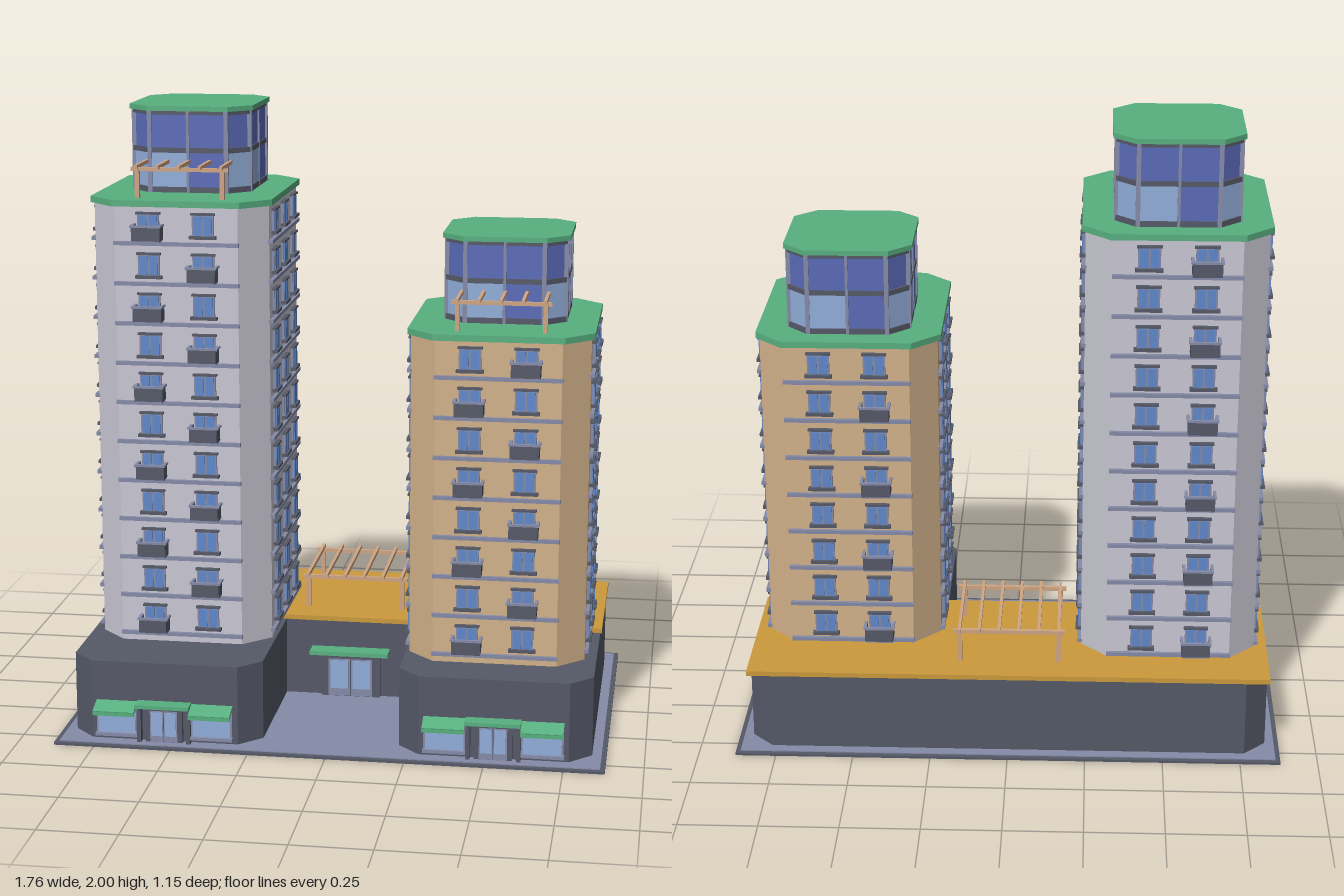
import * as THREE from 'three';

const mat = (name, color) => {
  const m = new THREE.MeshStandardMaterial({ color });
  m.name = name;
  return m;
};
const M = {
  slate: mat('slate', 0x555967),
  stone: mat('lavender stone', 0x858aa8),
  green: mat('green', 0x58b080),
  pale: mat('pale wall', 0xc9c8d4),
  beige: mat('beige wall', 0xd3b28b),
  gold: mat('gold deck', 0xcc9a3c),
  wood: mat('wood', 0xcfa584),
  pane: mat('window blue', 0x5f88cb),
  deep: mat('deep blue glass', 0x5a6bb8),
  light: mat('light glass', 0x92aedb),
};

function add(parent, name, geo, material, x = 0, y = 0, z = 0) {
  const m = new THREE.Mesh(geo, material);
  m.name = name;
  m.position.set(x, y, z);
  parent.add(m);
  return m;
}
const box = (p, name, m, w, h, d, x, y, z) => add(p, name, new THREE.BoxGeometry(w, h, d), m, x, y, z);

function group(parent, name, x = 0, y = 0, z = 0, turn = 0) {
  const g = new THREE.Group();
  g.name = name;
  g.position.set(x, y, z);
  g.rotation.y = turn;
  parent.add(g);
  return g;
}

// Upright prism from a plan outline of [x, z] points
function prism(points, h) {
  const shape = new THREE.Shape(points.map(([x, z]) => new THREE.Vector2(x, -z)));
  return new THREE.ExtrudeGeometry(shape, { depth: h, bevelEnabled: false }).rotateX(-Math.PI / 2);
}
const octagon = (a, b, c) => [
  [-a, -b + c], [-a, b - c], [-a + c, b], [a - c, b],
  [a, b - c], [a, -b + c], [a - c, -b], [-a + c, -b],
];

// Four straight sides of a chamfered plan: turn, distance from centre, flat width
const sides = (a, b, c) => [
  { name: 'front', turn: 0, dist: b, flat: 2 * (a - c) },
  { name: 'left', turn: Math.PI / 2, dist: a, flat: 2 * (b - c) },
  { name: 'back', turn: Math.PI, dist: b, flat: 2 * (a - c) },
  { name: 'right', turn: -Math.PI / 2, dist: a, flat: 2 * (b - c) },
];

function addWindow(parent, x, y, z) {
  const w = group(parent, 'window', x, y, z);
  box(w, 'windowFrame', M.stone, 0.07, 0.074, 0.012, 0, 0, 0.002);
  for (const s of [-1, 1]) box(w, 'windowPane', M.pane, 0.026, 0.06, 0.004, s * 0.0165, 0, 0.009);
  box(w, 'windowSill', M.slate, 0.086, 0.01, 0.022, 0, -0.037, 0.007);
  box(w, 'windowHead', M.slate, 0.078, 0.007, 0.016, 0, 0.037, 0.006);
}

function addBalcony(parent, x, y, z) {
  const b = group(parent, 'balcony', x, y, z);
  box(b, 'balconyFloor', M.stone, 0.09, 0.008, 0.05, 0, 0, 0.025);
  box(b, 'balconyFrontPanel', M.slate, 0.09, 0.044, 0.006, 0, 0.022, 0.048);
  box(b, 'balconyRail', M.stone, 0.1, 0.007, 0.01, 0, 0.046, 0.048);
  for (const s of [-1, 1]) {
    box(b, 'balconySidePanel', M.slate, 0.006, 0.044, 0.048, s * 0.043, 0.022, 0.024);
    box(b, 'balconySideRail', M.stone, 0.01, 0.007, 0.05, s * 0.045, 0.046, 0.025);
  }
}

// Beams along x, slats along z, posts under the beams
function addPergola(parent, name, o) {
  const p = group(parent, name, o.x, o.y, o.z);
  const t = o.t;
  for (const z of o.beams) {
    box(p, 'beam', M.wood, 2 * o.half + 0.04, t, t, 0, o.h, z);
    for (const s of [-1, 1]) box(p, 'post', M.wood, t * 1.2, o.h, t * 1.2, s * o.half, o.h / 2, z);
  }
  for (let i = 0; i < o.slats; i++) {
    const x = -o.half + (2 * o.half * i) / (o.slats - 1);
    box(p, 'slat', M.wood, 0.01, t, o.z1 - o.z0, x, o.h + t * 0.7, (o.z0 + o.z1) / 2);
  }
}

// Glazed rooftop room
function addPavilion(parent, y) {
  const a = 0.19, b = 0.203, c = 0.065, h = 0.262;
  const p = group(parent, 'pavilion', 0, y, -0.063);
  add(p, 'pavilionGlass', prism(octagon(a, b, c), h), M.deep);
  for (const [ry, rh] of [[0, 0.018], [0.128, 0.016], [h - 0.012, 0.012]])
    add(p, 'pavilionRail', prism(octagon(a + 0.005, b + 0.005, c), rh), M.slate, 0, ry, 0);
  for (const [x, z] of octagon(a, b, c)) box(p, 'pavilionPost', M.stone, 0.014, h, 0.014, x, h / 2, z);
  for (const s of sides(a, b, c)) {
    const f = group(p, s.name + 'Glazing', 0, 0, 0, s.turn);
    box(f, 'mullion', M.stone, 0.009, h, 0.012, 0, h / 2, s.dist);
    box(f, 'lightPane', M.light, s.flat / 2 - 0.01, 0.11, 0.004, -s.flat / 4, 0.073, s.dist + 0.001);
  }
  // Lower panes on the cut corners
  for (const sx of [-1, 1]) for (const sz of [-1, 1]) {
    const m = box(p, 'cornerPane', M.light, c * 1.3, 0.11, 0.004, sx * (a - c / 2), 0.073, sz * (b - c / 2));
    m.rotation.y = sx * sz > 0 ? Math.PI / 4 : -Math.PI / 4;
  }
  add(p, 'pavilionRoof', prism(octagon(0.203, 0.215, 0.07), 0.016), M.green, 0, h, 0);
}

function addTower(parent, name, wall, x, z, floors, top) {
  const base = 0.27, first = 0.285, a = 0.283, b = 0.337, c = 0.085;
  const t = group(parent, name, x, 0, z);
  const step = (top - first) / floors;
  add(t, 'towerWalls', prism(octagon(a, b, c), top - base), wall, 0, base, 0);
  for (const s of sides(a, b, c)) {
    const f = group(t, s.name + 'Facade', 0, 0, 0, s.turn);
    const narrow = s.name === 'front' || s.name === 'back';
    const columns = narrow ? [-0.088, 0.088] : [-0.17, 0, 0.17];
    for (let i = 0; i < floors; i++) {
      const y = first + i * step;
      box(f, 'floorBand', M.stone, s.flat + 0.006, 0.012, 0.02, 0, y + 0.012, s.dist + 0.002);
      for (const cx of columns) addWindow(f, cx, y + 0.072, s.dist);
      // Front balconies alternate sides; back ones sit on every other floor
      if (s.name === 'front') addBalcony(f, i % 2 ? 0.088 : -0.088, y + 0.026, s.dist);
      if (s.name === 'back' && i % 2 === 0) addBalcony(f, 0.088, y + 0.026, s.dist);
    }
  }
  add(t, 'towerRoof', prism(octagon(0.294, 0.347, 0.088), 0.02), M.green, 0, top, 0);
  addPavilion(t, top + 0.02);
  addPergola(t, 'terracePergola', {
    x: 0.003, y: top + 0.02, z: 0, half: 0.137, h: 0.092, t: 0.012, beams: [0.285], slats: 5, z0: 0.14, z1: 0.308,
  });
}

function addDoor(parent, name, x, z, w, h) {
  const d = group(parent, name, x, 0.01, z);
  box(d, 'doorFrame', M.slate, w, h, 0.02, 0, h / 2, 0);
  for (const s of [-1, 1]) {
    box(d, 'doorLeaf', M.stone, w * 0.36, h * 0.86, 0.008, s * w * 0.19, h * 0.45, 0.009);
    box(d, 'doorGlass', M.light, w * 0.3, h * 0.66, 0.004, s * w * 0.185, h * 0.52, 0.013);
  }
}

// Door with a canopy between two shop windows under sloping awnings
function addShopfront(parent, x) {
  const g = group(parent, 'shopfront', x, 0, 0.515);
  addDoor(g, 'shopDoor', 0, 0.006, 0.12, 0.12);
  box(g, 'doorCanopy', M.green, 0.176, 0.012, 0.05, 0, 0.138, 0.025);
  for (const s of [-1, 1]) {
    box(g, 'doorPilaster', M.slate, 0.014, 0.122, 0.024, s * 0.08, 0.071, 0.012);
    box(g, 'shopFrame', M.stone, 0.134, 0.088, 0.012, s * 0.154, 0.07, 0.004);
    box(g, 'shopGlass', M.light, 0.122, 0.074, 0.004, s * 0.154, 0.072, 0.011);
    box(g, 'shopSill', M.stone, 0.138, 0.01, 0.024, s * 0.154, 0.03, 0.011);
    const awning = box(g, 'awning', M.green, 0.134, 0.01, 0.062, s * 0.155, 0.126, 0.029);
    awning.rotation.x = 0.3;
    box(g, 'awningEdge', M.green, 0.134, 0.012, 0.005, s * 0.155, 0.113, 0.057);
  }
}

export function createModel() {
  const model = new THREE.Group();
  model.name = 'twinTowers';

  // Ground
  box(model, 'basePlate', M.slate, 1.76, 0.008, 1.15, 0, 0.004, 0);
  box(model, 'pavement', M.stone, 1.73, 0.004, 1.12, 0, 0.009, 0);

  // U-shaped podium with cut corners
  const half = [[0.22, 0], [0.22, 0.445], [0.29, 0.515], [0.765, 0.515], [0.835, 0.445], [0.835, -0.455], [0.765, -0.525]];
  const outline = [...half, ...half.map(([x, z]) => [-x, z]).reverse()];
  add(model, 'podium', prism(outline, 0.262), M.slate, 0, 0.008, 0);
  box(model, 'deck', M.gold, 1.68, 0.016, 0.535, 0, 0.277, -0.2675);
  addPergola(model, 'deckPergola', {
    x: -0.002, y: 0.285, z: 0, half: 0.16, h: 0.105, t: 0.013, beams: [-0.43, -0.11], slats: 6, z0: -0.455, z1: -0.09,
  });

  // Entrances
  addDoor(model, 'mainDoor', 0, 0.006, 0.2, 0.15);
  box(model, 'mainCanopy', M.green, 0.264, 0.014, 0.06, 0, 0.173, 0.03);
  for (const s of [-1, 1]) addShopfront(model, s * 0.528);

  addTower(model, 'tallTower', M.pale, -0.516, -0.05, 11, 1.703);
  addTower(model, 'shortTower', M.beige, 0.514, 0.023, 8, 1.316);
  return model;
}
